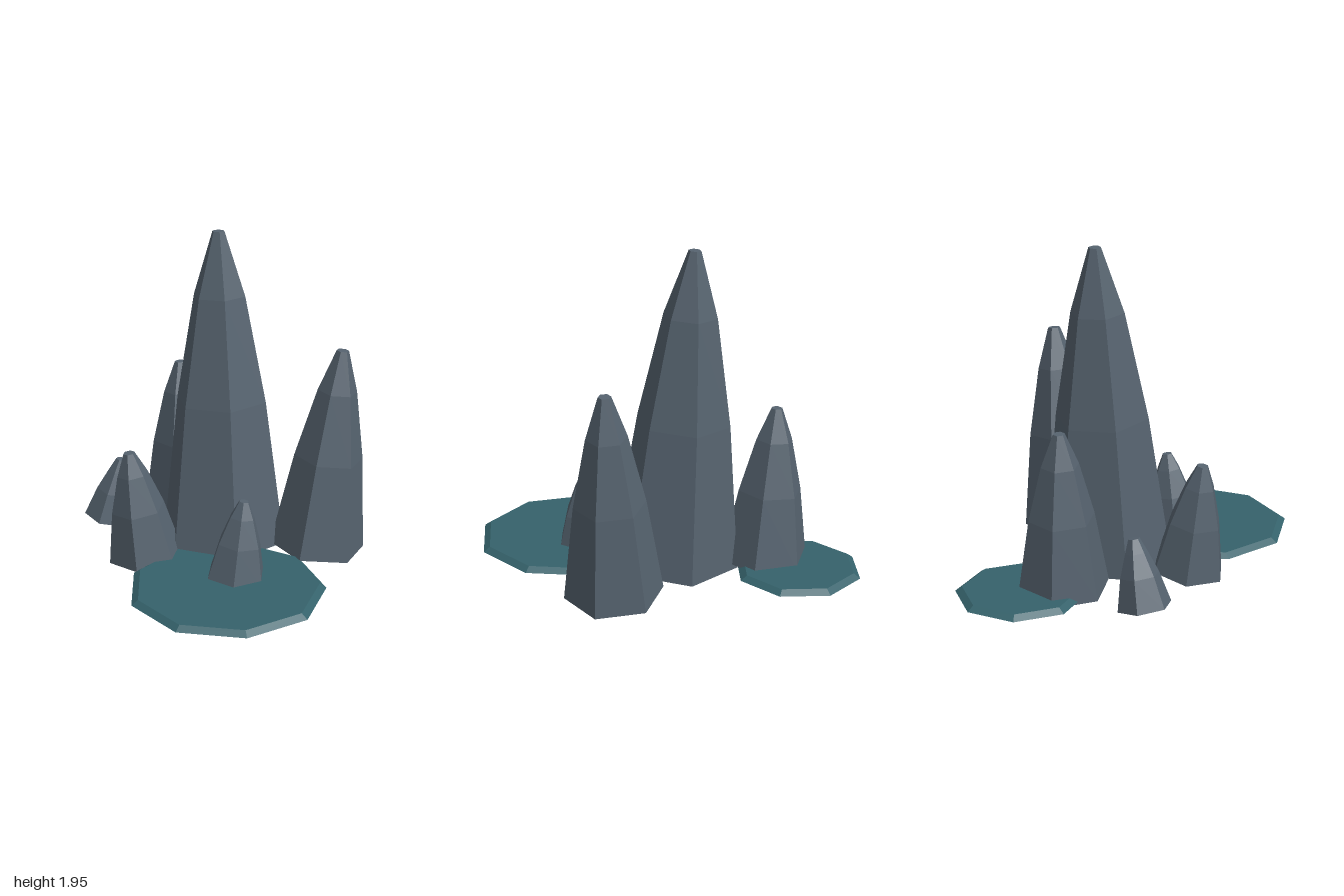
import * as THREE from 'three';

const UP = new THREE.Vector3(0, 1, 0);

// Six-sided tapering rock spire leaning from its base centre to its tip
function makeSpire(name, base, tip, radius, tipRadius, angleDeg, material) {
  const start = new THREE.Vector3(base[0], 0.03, base[1]);
  const axis = new THREE.Vector3(...tip).sub(start);
  const h = axis.length();
  const profile = [
    [0, 0], [radius, 0], [radius * 0.72, h * 0.465], [radius * 0.41, h * 0.8], [tipRadius, h], [0, h],
  ].map(([r, y]) => new THREE.Vector2(r, y));
  const phase = THREE.MathUtils.degToRad(90 - angleDeg);
  const mesh = new THREE.Mesh(new THREE.LatheGeometry(profile, 6, phase), material);
  mesh.name = name;
  mesh.position.copy(start);
  mesh.quaternion.setFromUnitVectors(UP, axis.normalize());
  return mesh;
}

// Thin flat pool with a bevelled rim
function makePool(name, x, z, radius, sides, material) {
  const geometry = new THREE.CylinderGeometry(radius - 0.04, radius, 0.028, sides, 1, false, Math.PI / 2);
  const mesh = new THREE.Mesh(geometry, material);
  mesh.name = name;
  mesh.position.set(x, 0.049, z);
  return mesh;
}

export function createModel() {
  const group = new THREE.Group();
  group.name = 'rockSpires';

  const rock = new THREE.MeshStandardMaterial({ color: 0x56636f, flatShading: true });
  rock.name = 'slate rock';
  const water = new THREE.MeshStandardMaterial({ color: 0x35626b, flatShading: true });
  water.name = 'teal water';

  // name, base centre [x, z], tip [x, y, z], base radius, tip radius, corner angle
  const spires = [
    ['mainSpire', [-0.03, -0.13], [-0.123, 1.94, -0.19], 0.39, 0.037, -80],
    ['tallLeftSpire', [0.484, -0.4], [0.567, 1.275, -0.495], 0.29, 0.037, 15],
    ['rightSpire', [-0.52, -0.355], [-0.577, 0.985, -0.366], 0.27, 0.034, 10],
    ['frontSpire', [-0.24, 0.36], [-0.29, 0.7, 0.436], 0.225, 0.034, 2],
    ['smallLeftSpire', [0.38, 0.265], [0.4, 0.513, 0.217], 0.185, 0.029, -4],
    ['smallRightSpire', [-0.762, 0.12], [-0.706, 0.42, 0.057], 0.158, 0.033, 12],
  ];
  for (const s of spires) group.add(makeSpire(...s, rock));

  // Pools around the spires
  group.add(makePool('largePool', 0.424, 0.404, 0.576, 9, water));
  group.add(makePool('smallPool', -0.62, -0.592, 0.38, 8, water));

  return group;
}
